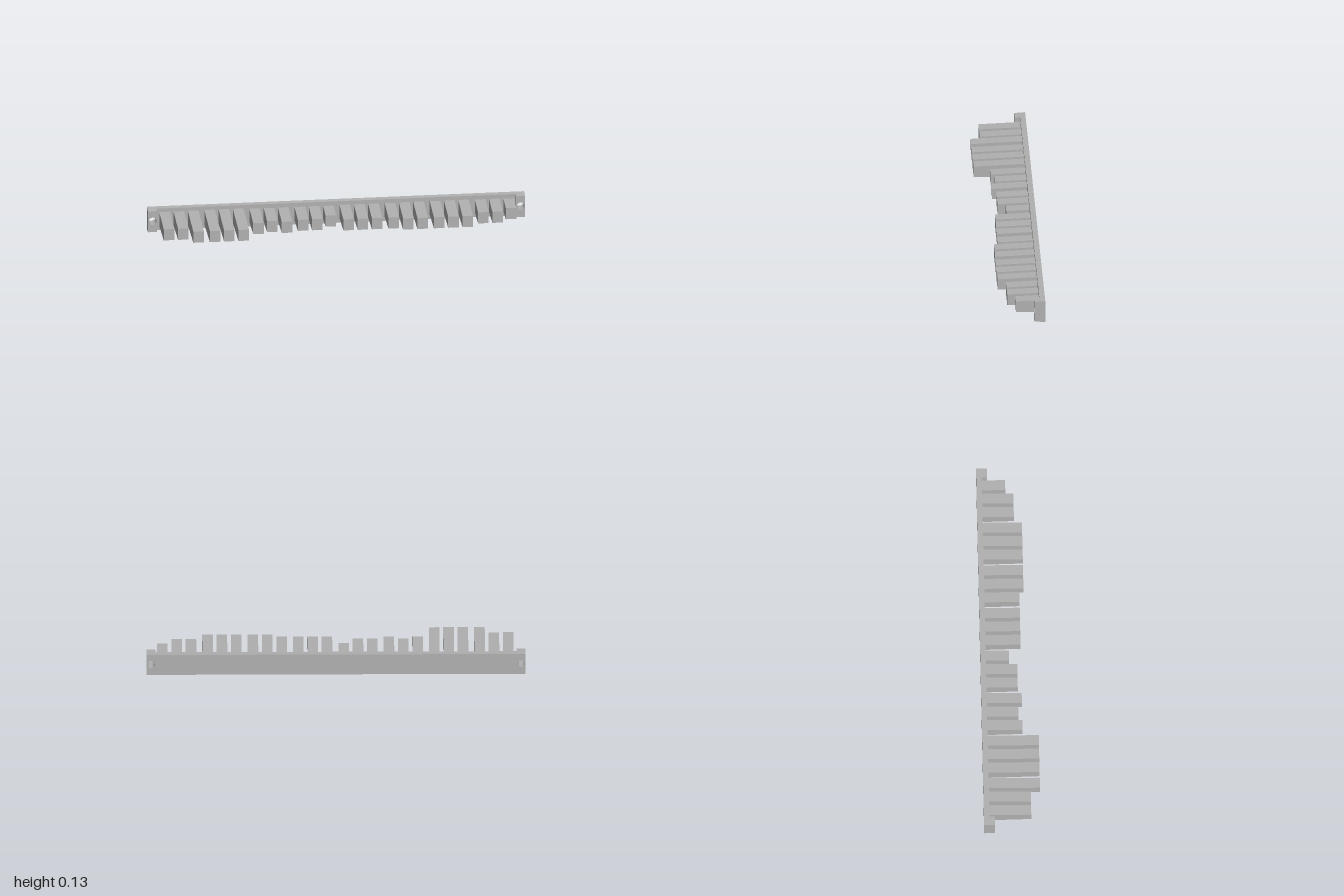
import * as THREE from 'three';

const BACK = -0.149, MID_Y = 0.063;

// Narrows a part in height towards the front, like a moulding draft
function draft(geometry, slope, midY, fromZ, isOuter = () => true) {
  const p = geometry.attributes.position;
  for (let i = 0; i < p.count; i++) {
    const dy = p.getY(i) - midY;
    if (isOuter(dy)) p.setY(i, p.getY(i) - Math.sign(dy) * slope * (p.getZ(i) - fromZ));
  }
  geometry.computeVertexNormals();
  return geometry;
}

export function createModel() {
  const group = new THREE.Group();
  const grey = new THREE.MeshStandardMaterial({ color: 0xb0b0b0 });
  grey.name = 'grey';
  const add = (geometry, name) => {
    const mesh = new THREE.Mesh(geometry, grey);
    mesh.name = name;
    group.add(mesh);
    return mesh;
  };

  // Long back rail
  const endWidth = 0.048, railDepth = 0.029;
  const rail = new THREE.BoxGeometry(2 - 2 * endWidth, 2 * MID_Y, railDepth);
  rail.translate(0, MID_Y, BACK + railDepth / 2);
  add(draft(rail, 0.06, MID_Y, BACK), 'backRail');

  // Thicker end blocks, each with a screw hole right through
  for (const side of [-1, 1]) {
    const a = side < 0 ? -1 : 1 - endWidth, b = a + endWidth;
    const shape = new THREE.Shape();
    shape.moveTo(a, 0).lineTo(b, 0).lineTo(b, 2 * MID_Y).lineTo(a, 2 * MID_Y).closePath();
    const hole = new THREE.Path();
    hole.absarc((a + b) / 2, MID_Y + 0.002, 0.021, 0, Math.PI * 2, true);
    shape.holes.push(hole);
    const block = new THREE.ExtrudeGeometry(shape, { depth: 0.058, bevelEnabled: false, curveSegments: 16 });
    block.translate(0, 0, BACK);
    add(draft(block, 0.06, MID_Y, BACK, dy => Math.abs(dy) > 0.05), side < 0 ? 'rightEndBlock' : 'leftEndBlock');
  }

  // Tapered teeth in groups of three, by the z of their front faces
  const fronts = [
    [0.101, 0.101, 0.15], [0.15, 0.15, 0.15], [0.065, 0.045, 0.065], [0.045, 0.045, 0.003],
    [0.065, 0.065, 0.065], [0.065, 0.087, 0.087], [0.087, 0.087, 0.087], [0.045, 0.045, 0.003],
  ];
  const root = BACK + railDepth - 0.003, toothY = 0.0645;
  fronts.forEach((trio, g) => trio.forEach((front, i) => {
    const length = front - root;
    const tooth = new THREE.BoxGeometry(0.056, 0.063, length);
    tooth.translate(-0.909 + g * 0.239 + i * 0.0757, toothY, root + length / 2);
    add(draft(tooth, 0.035, toothY, front), 'tooth' + (g * 3 + i + 1));
  }));
  return group;
}
